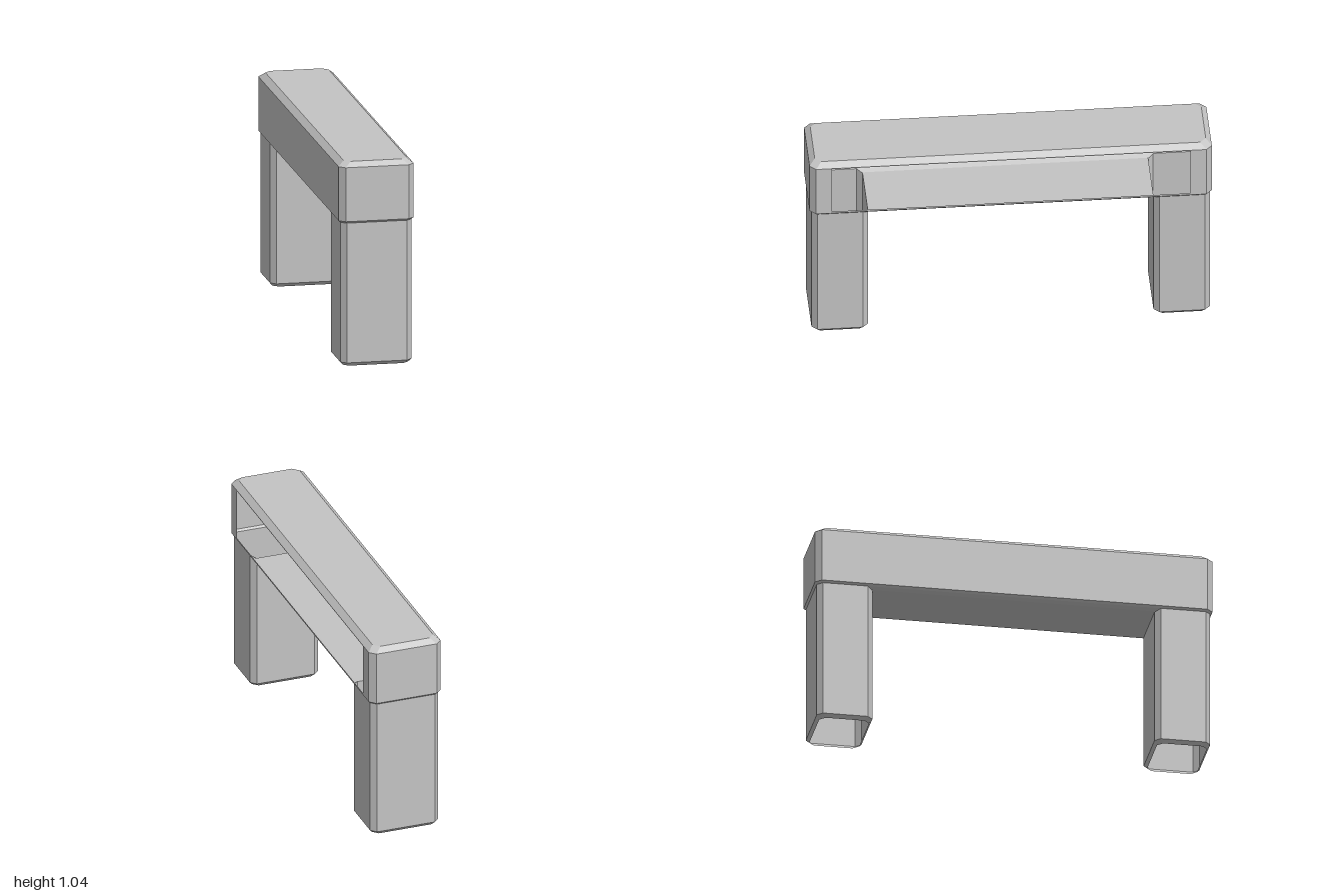
import * as THREE from 'three';

const grey = new THREE.MeshStandardMaterial({ color: 0xc4c4c4, side: THREE.DoubleSide });
grey.name = 'plain grey';

// Rectangle with cut corners at height y; edge 0 lies on the +x side
function ring(hx, z0, z1, c, y) {
  return [
    [hx, z1 - c], [hx, z0 + c], [hx - c, z0], [c - hx, z0],
    [-hx, z0 + c], [-hx, z1 - c], [c - hx, z1], [hx - c, z1],
  ].map(([x, z]) => new THREE.Vector3(x, y, z));
}

// Flat-sided mesh from a list of convex polygons
function faces(name, polygons) {
  const points = [];
  for (const p of polygons)
    for (let i = 1; i < p.length - 1; i++) points.push(p[0], p[i], p[i + 1]);
  const geometry = new THREE.BufferGeometry().setFromPoints(points);
  geometry.computeVertexNormals();
  const mesh = new THREE.Mesh(geometry, grey);
  mesh.name = name;
  return mesh;
}

// Quads joining stacked rings, lowest first, optionally leaving out one side
function walls(rings, skip = -1) {
  const quads = [];
  for (let r = 0; r < rings.length - 1; r++)
    for (let i = 0; i < 8; i++) {
      if (i === skip) continue;
      const j = (i + 1) % 8, a = rings[r], b = rings[r + 1];
      quads.push([a[i], a[j], b[j], b[i]]);
    }
  return quads;
}

export function createModel() {
  const model = new THREE.Group();
  const v = (x, y, z) => new THREE.Vector3(x, y, z);

  // Hollow beam shell: closed on three sides
  const wallBottom = ring(0.19, -1, 1, 0.03, 0.74);
  const wallTop = ring(0.19, -1, 1, 0.03, 1.015);
  model.add(faces('beamWalls', walls([wallBottom, wallTop], 0)));

  // Bevelled roof
  const roof = ring(0.16, -0.972, 0.972, 0.03, 1.04);
  model.add(faces('beamRoof', [...walls([wallTop, roof]), roof]));

  // Framed opening along the +x side
  const z0 = 0.89, y0 = 0.75, y1 = 1.012;
  const quad = (za, zb, ya, yb) =>
    [v(0.19, ya, zb), v(0.19, ya, za), v(0.19, yb, za), v(0.19, yb, zb)];
  model.add(faces('openingFrame', [
    quad(-0.97, -z0, 0.74, 1.015), quad(z0, 0.97, 0.74, 1.015),
    quad(-z0, z0, 0.74, y0), quad(-z0, z0, y1, 1.015),
  ]));

  // Lower bevel around the beam, then the floor between the legs
  model.add(faces('beamLowerBevel', walls([ring(0.18, -0.99, 0.99, 0.027, 0.73), wallBottom])));
  const floor = [[v(-0.16, 0.72, -0.71), v(0.16, 0.72, -0.71), v(0.16, 0.72, 0.71), v(-0.16, 0.72, 0.71)]];
  for (const s of [-1, 1]) {
    floor.push([
      v(s * 0.16, 0.72, s * 0.715), v(s * 0.16, 0.72, -s * 0.715),
      v(s * 0.18, 0.73, -s * 0.737), v(s * 0.18, 0.73, s * 0.737),
    ]);
  }
  model.add(faces('beamFloor', floor));

  // Hollow legs, open at both ends, with a narrow bevel at the foot
  for (const [name, a, b] of [['frontLeg', 0.71, 0.99], ['backLeg', -0.99, -0.71]]) {
    const top = ring(0.18, a, b, 0.027, 0.73);
    for (const p of top) if (Math.abs(p.z) < 0.72) p.y = 0.72;
    model.add(faces(name, walls([
      ring(0.165, a + 0.015, b - 0.015, 0.027, 0),
      ring(0.18, a, b, 0.027, 0.018),
      top,
    ])));
  }
  return model;
}
